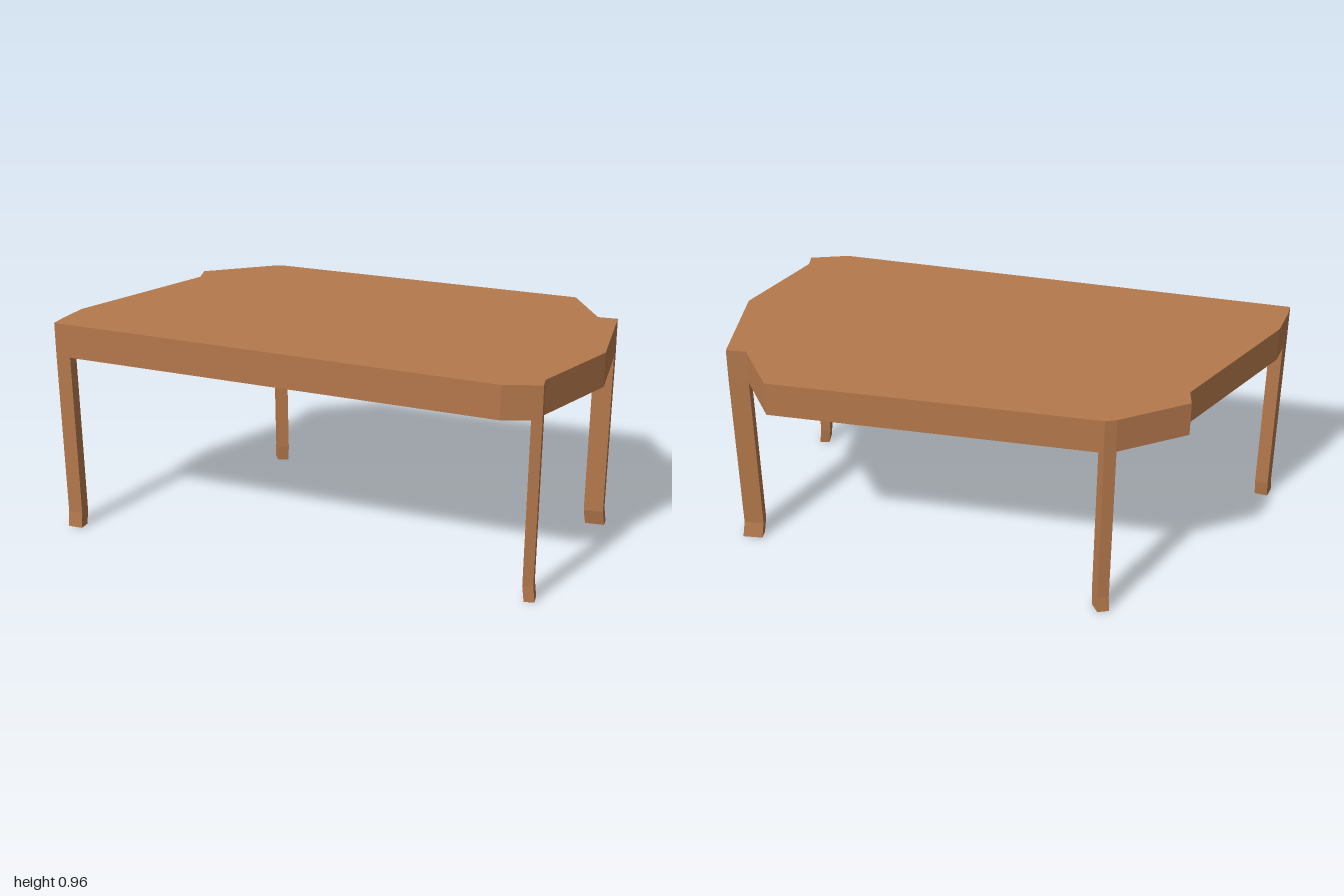
import * as THREE from 'three';

const UNDERSIDE = 0.81, TOP = 0.96, ANKLE = 0.07;
const wood = new THREE.MeshStandardMaterial({ color: 0xb5794c, flatShading: true });

// Upright prism from an outline of [x, z] corners
function prism(outline, bottom, top, steps = 1) {
  const shape = new THREE.Shape(outline.map(([x, z]) => new THREE.Vector2(x, -z)));
  const geometry = new THREE.ExtrudeGeometry(shape, { depth: top - bottom, steps, bevelEnabled: false });
  geometry.rotateX(-Math.PI / 2).translate(0, bottom, 0);
  return geometry;
}

// Leg that leans in slightly down to the ankle, then kicks out at the foot
function makeLeg(name, corners, [dx, dz]) {
  const geometry = prism(corners, 0, UNDERSIDE, 2);
  const p = geometry.attributes.position;
  for (let i = 0; i < p.count; i++) {
    if (p.getY(i) > 0.1 && p.getY(i) < UNDERSIDE - 0.1) {
      p.setXYZ(i, p.getX(i) + dx, ANKLE, p.getZ(i) + dz);
    }
  }
  geometry.computeVertexNormals();
  const leg = new THREE.Mesh(geometry, wood);
  leg.name = name;
  return leg;
}

export function createModel() {
  const table = new THREE.Group();
  table.name = 'table';

  // Thick slab with cut corners that meet the legs
  const outline = [
    [-0.95, 0.88], [-0.97, 0.82], [-1, 0.69], [-0.94, 0.05], [-0.985, -0.015],
    [-0.81, -0.285], [-0.775, -0.32], [0.48, -0.88], [0.7, -0.74], [0.775, -0.78],
    [0.97, -0.42], [0.97, -0.02], [1, 0.03], [0.875, 0.14],
  ];
  const slab = new THREE.Mesh(prism(outline, UNDERSIDE, TOP), wood);
  slab.name = 'tableTop';
  table.add(slab);

  // Legs: four corners each, and the inward shift at the ankle
  table.add(
    makeLeg('frontRightLeg', [[-0.96, 0.825], [-0.95, 0.88], [-0.89, 0.855], [-0.905, 0.81]], [0, -0.008]),
    makeLeg('backRightLeg', [[-0.81, -0.28], [-0.775, -0.315], [-0.73, -0.285], [-0.765, -0.25]], [0.006, 0.003]),
    makeLeg('backLeftLeg', [[0.7, -0.74], [0.775, -0.78], [0.795, -0.74], [0.72, -0.7]], [0, 0.015]),
    makeLeg('frontLeftLeg', [[0.97, -0.02], [1, 0.03], [0.965, 0.058], [0.935, 0.005]], [-0.01, 0]),
  );
  return table;
}
